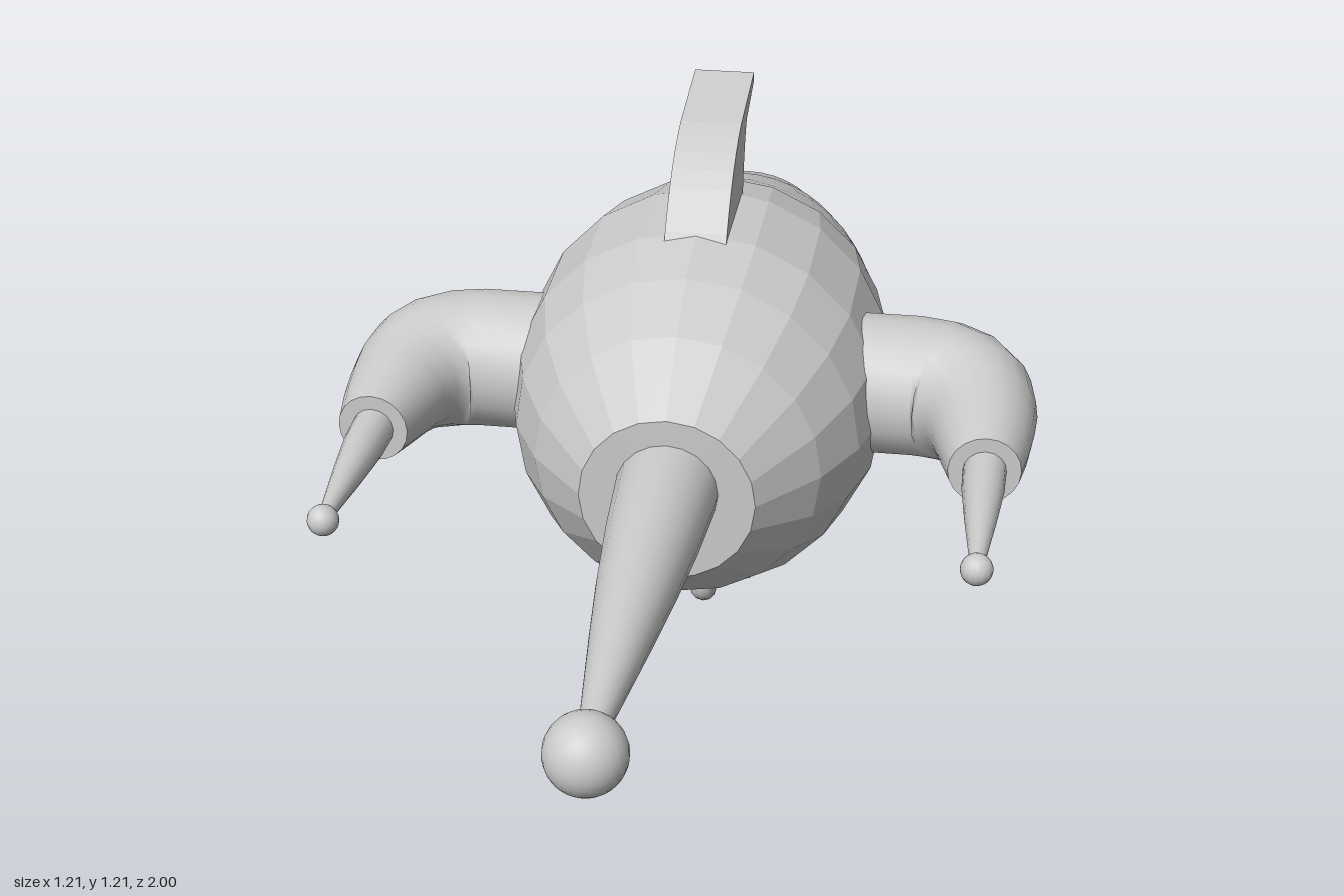
import * as THREE from 'three';

const smooth = new THREE.MeshStandardMaterial({ color: 0xcccccc });
const faceted = new THREE.MeshStandardMaterial({ color: 0xcccccc, flatShading: true });
const CX = 0.004; // centre line of the body

// Skin a row of rings { c: centre, t: direction, rx, ry }; all directions are horizontal.
function loft(rings, sides) {
  const pos = [], idx = [];
  const up = new THREE.Vector3(0, 1, 0);
  const addRing = ({ c, t, rx, ry }) => {
    const first = pos.length / 3;
    const u = up.clone().cross(t).normalize();
    for (let j = 0; j < sides; j++) {
      const a = (j / sides) * Math.PI * 2;
      const p = c.clone().addScaledVector(u, Math.cos(a) * rx).addScaledVector(up, Math.sin(a) * ry);
      pos.push(p.x, p.y, p.z);
    }
    return first;
  };
  const starts = rings.map(addRing);
  for (let i = 0; i < rings.length - 1; i++) {
    for (let j = 0; j < sides; j++) {
      const k = (j + 1) % sides;
      const a = starts[i] + j, b = starts[i] + k, c = starts[i + 1] + k, d = starts[i + 1] + j;
      idx.push(a, b, c, a, c, d);
    }
  }
  // end caps with their own vertices, so the rims stay sharp
  [[rings[0], true], [rings[rings.length - 1], false]].forEach(([ring, isStart]) => {
    const s = addRing(ring);
    const mid = pos.length / 3;
    pos.push(ring.c.x, ring.c.y, ring.c.z);
    for (let j = 0; j < sides; j++) {
      const k = (j + 1) % sides;
      if (isStart) idx.push(mid, s + k, s + j);
      else idx.push(mid, s + j, s + k);
    }
  });
  const g = new THREE.BufferGeometry();
  g.setAttribute('position', new THREE.Float32BufferAttribute(pos, 3));
  g.setIndex(idx);
  g.computeVertexNormals();
  return g;
}

// Rings along z from rows [z, rx, ry = rx, y]
function alongZ(rows, x, y, sides) {
  const t = new THREE.Vector3(0, 0, Math.sign(rows[rows.length - 1][0] - rows[0][0]));
  return loft(rows.map(([z, rx, ry = rx, cy = y]) => ({ c: new THREE.Vector3(x, cy, z), t, rx, ry })), sides);
}

// Side profile in (z, y), given a thickness across x
function plate(draw, width) {
  const shape = new THREE.Shape();
  draw(shape);
  const g = new THREE.ExtrudeGeometry(shape, { depth: width, bevelEnabled: false, curveSegments: 6 });
  g.translate(0, 0, -width / 2);
  g.rotateY(-Math.PI / 2); // shape x becomes z
  g.translate(CX, 0, 0);
  return g;
}

export function createModel() {
  const model = new THREE.Group();
  const add = (name, geometry, material = smooth, parent = model) => {
    const mesh = new THREE.Mesh(geometry, material);
    mesh.name = name;
    parent.add(mesh);
    return mesh;
  };

  // Faceted front shell and smooth tapering rear shell
  add('frontShell', alongZ([
    [0.195, 0.148], [0.08, 0.245], [-0.03, 0.3], [-0.15, 0.33], [-0.34, 0.333], [-0.48, 0.308, 0.3],
  ], CX, 0.713, 20), faceted);
  add('rearShell', alongZ([
    [-0.46, 0.309, 0.3], [-0.55, 0.289, 0.272], [-0.65, 0.264, 0.236], [-0.77, 0.223, 0.192], [-0.85, 0.192, 0.164, 0.708],
    [-0.91, 0.167, 0.149, 0.703], [-0.945, 0.148, 0.138, 0.698], [-0.97, 0.126, 0.124, 0.695],
    [-0.987, 0.105, 0.102, 0.695], [-0.997, 0.085, 0.078, 0.698], [-1, 0.06, 0.055, 0.7],
  ], CX, 0.713, 40));

  // Main barrel and its ball tip
  add('barrel', alongZ([
    [0.1, 0.087], [0.2, 0.086], [0.35, 0.077], [0.5, 0.064], [0.65, 0.048], [0.78, 0.033], [0.9, 0.019],
  ], CX, 0.73, 20));
  add('barrelTip', new THREE.SphereGeometry(0.062, 24, 16)).position.set(CX, 0.73, 0.938);

  // Curved side arms, each with a small barrel
  const armPath = [ // x, z, radius
    [0.24, -0.21, 0.124], [0.39, -0.21, 0.124], [0.435, -0.2, 0.123], [0.468, -0.178, 0.12], [0.492, -0.145, 0.112],
    [0.506, -0.1, 0.099], [0.512, -0.05, 0.088], [0.517, 0.02, 0.075], [0.52, 0.085, 0.061],
  ];
  for (const side of [1, -1]) {
    const arm = new THREE.Group();
    arm.name = side > 0 ? 'leftArm' : 'rightArm';
    model.add(arm);
    const pts = armPath.map(([x, z]) => new THREE.Vector3(x * side, 0.75, z));
    const rings = pts.map((c, i) => ({
      c,
      t: pts[Math.min(i + 1, pts.length - 1)].clone().sub(pts[Math.max(i - 1, 0)]).normalize(),
      rx: armPath[i][2],
      ry: armPath[i][2],
    }));
    add('armShell', loft(rings, 20), smooth, arm);
    add('sideBarrel', alongZ([[0.05, 0.037], [0.15, 0.035], [0.25, 0.026], [0.39, 0.011]], 0.52 * side, 0.75, 16), smooth, arm);
    add('sideBarrelTip', new THREE.SphereGeometry(0.026, 16, 12), smooth, arm).position.set(0.52 * side, 0.75, 0.4);
  }

  // Swept fin on top
  add('topFin', plate((s) => {
    s.moveTo(-0.13, 1.02);
    s.lineTo(-0.145, 1.045);
    s.quadraticCurveTo(-0.22, 1.145, -0.33, 1.175);
    s.lineTo(-0.51, 1.205);
    s.lineTo(-0.508, 1.188);
    s.lineTo(-0.41, 1.155);
    s.quadraticCurveTo(-0.375, 1.11, -0.365, 1.02);
  }, 0.107));

  // Curved grip
  add('grip', plate((s) => {
    s.moveTo(-0.51, 0.47);
    s.bezierCurveTo(-0.51, 0.25, -0.53, 0.12, -0.735, 0);
    s.lineTo(-0.772, 0);
    s.bezierCurveTo(-0.7, 0.17, -0.685, 0.37, -0.79, 0.56);
    s.lineTo(-0.6, 0.6);
  }, 0.07));

  // Trigger
  add('trigger', plate((s) => {
    s.moveTo(-0.36, 0.43);
    s.quadraticCurveTo(-0.36, 0.36, -0.315, 0.302);
    s.quadraticCurveTo(-0.41, 0.315, -0.455, 0.4);
    s.lineTo(-0.46, 0.44);
  }, 0.05));

  // Trigger guard: a bent rod from shell to grip
  const guard = new THREE.CurvePath();
  const v = (y, z) => new THREE.Vector3(CX, y, z);
  guard.add(new THREE.LineCurve3(v(0.42, -0.25), v(0.29, -0.25)));
  guard.add(new THREE.QuadraticBezierCurve3(v(0.29, -0.25), v(0.26, -0.25), v(0.26, -0.28)));
  guard.add(new THREE.LineCurve3(v(0.26, -0.28), v(0.26, -0.56)));
  add('triggerGuard', new THREE.TubeGeometry(guard, 48, 0.025, 12));

  return model;
}
